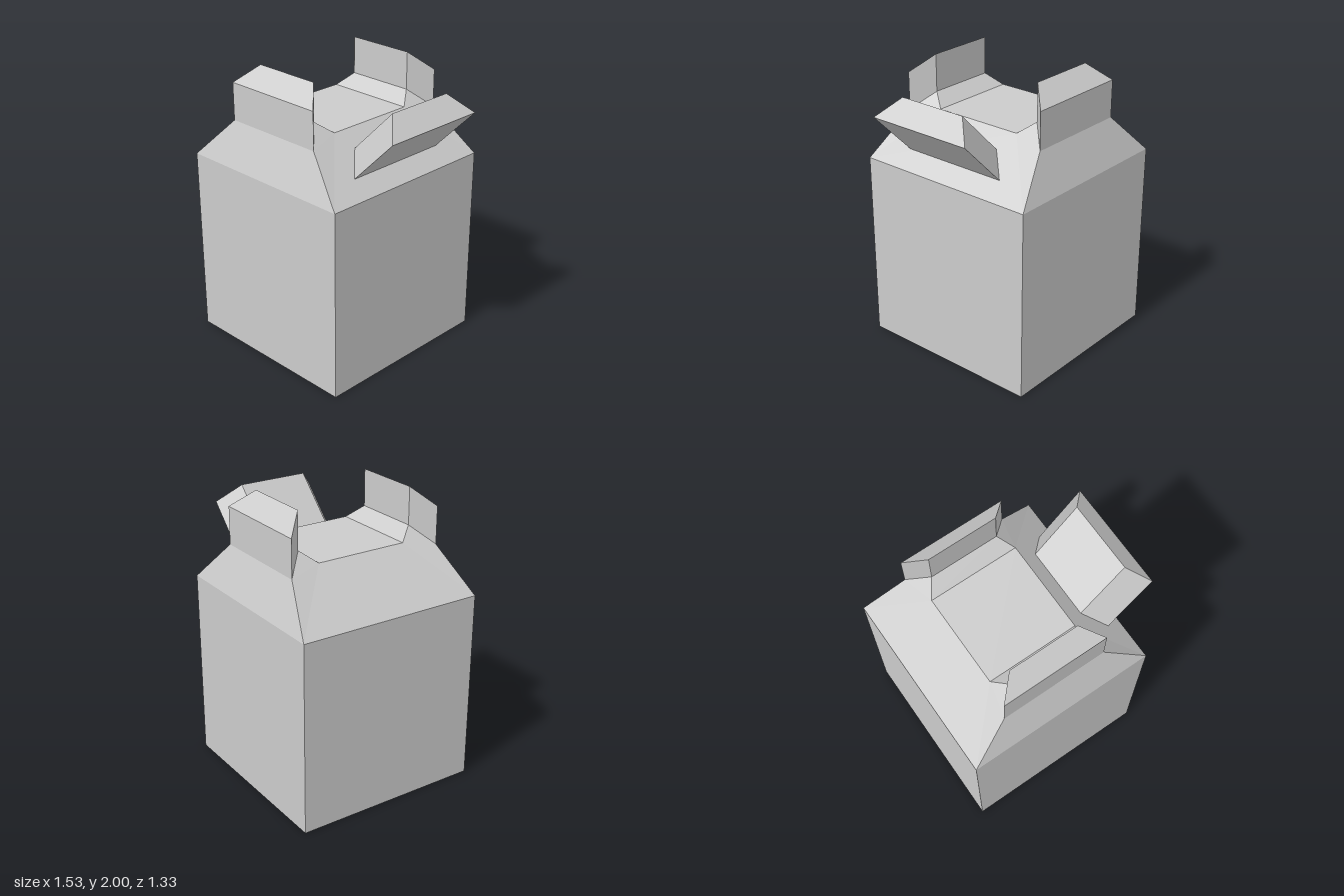
import * as THREE from 'three';

const material = new THREE.MeshStandardMaterial({ color: 0xcccccc, flatShading: true });

// Flat polygons (corners anticlockwise from outside) split into fans
function facesMesh(name, faces) {
  const pos = [];
  for (const f of faces)
    for (let i = 1; i < f.length - 1; i++) pos.push(...f[0], ...f[i], ...f[i + 1]);
  const g = new THREE.BufferGeometry();
  g.setAttribute('position', new THREE.Float32BufferAttribute(pos, 3));
  g.computeVertexNormals();
  const mesh = new THREE.Mesh(g, material);
  mesh.name = name;
  return mesh;
}

// Four-cornered solid between two loops, anticlockwise seen from the top loop
function prismFaces(base, top) {
  const sides = base.map((p, i) => {
    const j = (i + 1) % 4;
    return [p, base[j], top[j], top[i]];
  });
  return [top, [...base].reverse(), ...sides];
}

const rect = (hx, hz, y) => [[-hx, y, hz], [hx, y, hz], [hx, y, -hz], [-hx, y, -hz]];

export function createModel() {
  const group = new THREE.Group();
  group.name = 'carton';
  const carton = new THREE.Group();
  carton.name = 'cartonBody';
  carton.position.x = -0.105;
  group.add(carton);

  // Square lower box, closed by the shoulders above
  const H = 0.664;
  carton.add(facesMesh('box', prismFaces(rect(H, H, 0), rect(H, H, 1.33)).slice(1)));

  // Key corners of the shoulders, by side signs
  const A = (sx, sz) => [sx * H, 1.33, sz * H];
  const B = (sx, sz) => [sx * 0.375, 1.62, sz * 0.558];
  const C = (sx, sz) => [sx * 0.245, 1.74, sz * 0.428];
  const D = (sx, sz) => [sx * 0.32, 1.66, sz * 0.325];
  const turn = (s, f) => (s > 0 ? f : f.reverse());

  const shoulders = [[D(-1, 1), D(1, 1), D(1, -1), D(-1, -1)]];
  for (const s of [1, -1]) {
    shoulders.push(
      turn(s, [A(-1, s), A(1, s), B(1, s), B(-1, s)]),
      turn(s, [D(1, s), D(-1, s), C(-1, s), C(1, s)]),
      turn(s, [A(s, 1), A(s, -1), D(s, -1), D(s, 1)]),
    );
    for (const t of [1, -1])
      shoulders.push(turn(s * t, [A(s, t), D(s, t), B(s, t)]), turn(s * t, [B(s, t), D(s, t), C(s, t)]));
  }
  carton.add(facesMesh('shoulders', shoulders));

  // Upright front and back flaps with bevelled tops and ends
  for (const s of [1, -1]) {
    const lift = (y1, y2) => [B(-1, s), B(1, s), C(1, s), C(-1, s)]
      .map(([x, y, z], i) => [x, y + (i < 2 ? y1 : y2), z]);
    const base = lift(0, 0), top = lift(0.26, 0.26);
    if (s < 0) { base.reverse(); top.reverse(); }
    carton.add(facesMesh(s > 0 ? 'frontFlap' : 'backFlap', prismFaces(base, top)));
  }

  // Slanted flap standing square to the left shoulder
  const foot = [[0.45, 1.435, 0.385], [0.45, 1.435, -0.385], [0.32, 1.565, -0.25], [0.32, 1.565, 0.25]];
  const tip = foot.map(([x, y, z]) => [x + 0.312, y + 0.315, z]);
  group.add(facesMesh('sideFlap', prismFaces(foot, tip)));
  return group;
}
